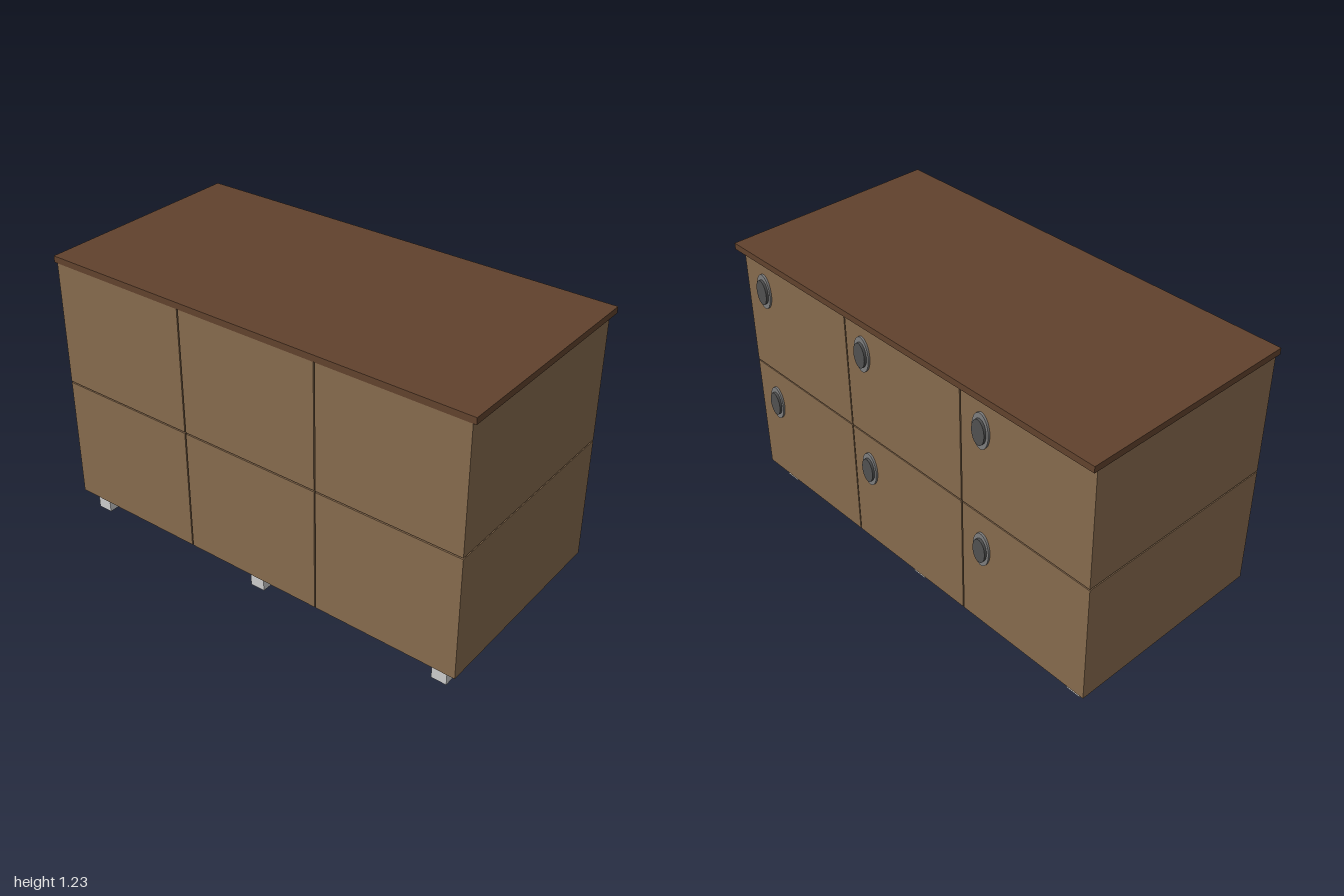
import * as THREE from 'three';

export function createModel() {
  const root = new THREE.Group();
  root.name = 'sideboard';
  const mat = (color) => new THREE.MeshStandardMaterial({ color });
  const wood = mat(0x866a4d), darkWood = mat(0x61422d);
  const rimMetal = mat(0x7d7d7d), discMetal = mat(0x505050), grey = mat(0xcccccc);

  // Box given by its minimum and maximum corners
  function box(name, material, [x0, y0, z0], [x1, y1, z1]) {
    const mesh = new THREE.Mesh(new THREE.BoxGeometry(x1 - x0, y1 - y0, z1 - z0), material);
    mesh.position.set((x0 + x1) / 2, (y0 + y1) / 2, (z0 + z1) / 2);
    mesh.name = name;
    root.add(mesh);
  }

  // Oval disc lying against the door face, its axis along x
  function oval(name, material, x0, x1, halfY, halfZ) {
    const geo = new THREE.CylinderGeometry(1, 1, x1 - x0, 40);
    geo.rotateZ(-Math.PI / 2).scale(1, halfY, halfZ).translate((x0 + x1) / 2, 0, 0);
    const mesh = new THREE.Mesh(geo, material);
    mesh.name = name;
    return mesh;
  }

  // Six cabinet blocks, each with an oval handle
  const columns = [
    { z: [0.335, 0.987], handle: 0.868 },
    { z: [-0.321, 0.329], handle: 0.23 },
    { z: [-0.983, -0.327], handle: -0.436 },
  ];
  const rows = [
    { y: [0.081, 0.64], handle: 0.474 },
    { y: [0.646, 1.197], handle: 1.04 },
  ];
  for (const c of columns) {
    for (const r of rows) {
      box('cabinetBlock', wood, [-0.495, r.y[0], c.z[0]], [0.457, r.y[1], c.z[1]]);
      const handle = new THREE.Group();
      handle.name = 'handle';
      handle.add(
        oval('handleRim', rimMetal, 0.45, 0.466, 0.08, 0.043),
        oval('handleDisc', discMetal, 0.46, 0.477, 0.057, 0.033),
      );
      handle.position.set(0, r.handle, c.handle);
      root.add(handle);
    }
  }

  // Top slab
  box('topSlab', darkWood, [-0.495, 1.197, -1], [0.492, 1.225, 1]);

  // Two rows of three feet
  for (const x of [-0.433, 0.374]) {
    for (const z of [0.902, 0.007, -0.89]) {
      box('foot', grey, [x - 0.034, 0, z - 0.034], [x + 0.034, 0.081, z + 0.034]);
    }
  }
  return root;
}
